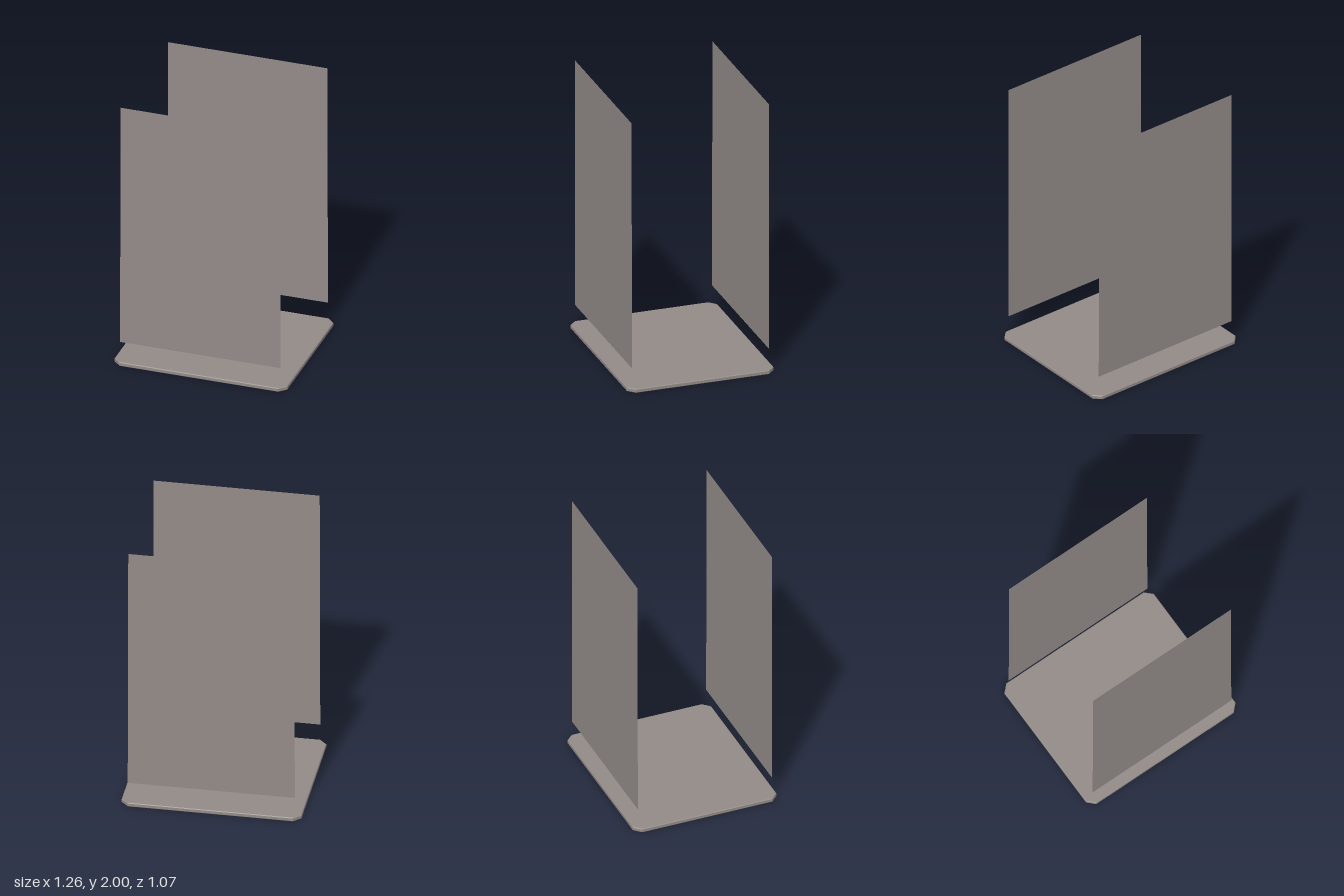
import * as THREE from 'three';

const stone = new THREE.MeshStandardMaterial({ color: 0x938b88, flatShading: true, side: THREE.DoubleSide });
stone.name = 'warm grey';

// Rectangle with cut corners
function cutRectangle(w, d, c) {
  return new THREE.Shape([
    [w, c - d], [w, d - c], [w - c, d], [c - w, d],
    [-w, d - c], [-w, c - d], [c - w, -d], [w - c, -d],
  ].map(([x, y]) => new THREE.Vector2(x, y)));
}

export function createModel() {
  const model = new THREE.Group();
  model.name = 'standWithPanels';

  // Flat base slab with cut corners and a fine bevel
  const bevel = 0.005, height = 0.03;
  const slab = new THREE.ExtrudeGeometry(cutRectangle(0.628, 0.536, 0.05), {
    depth: height - 2 * bevel, bevelEnabled: true, bevelSegments: 1,
    bevelSize: bevel, bevelThickness: bevel, bevelOffset: -bevel,
  });
  slab.rotateX(-Math.PI / 2).translate(0, bevel, 0);
  const base = new THREE.Mesh(slab, stone);
  base.name = 'base';
  model.add(base);

  // Thin upright sheets, very slightly wider at the bottom
  const bottom = 0.17, top = 2, wb = 0.583, wt = 0.579;
  const sheet = new THREE.Shape([
    new THREE.Vector2(-wb, bottom), new THREE.Vector2(wb, bottom),
    new THREE.Vector2(wt, top), new THREE.Vector2(-wt, top),
  ]);
  for (const [name, z, turn] of [['frontPanel', 0.5, 0], ['backPanel', -0.5, Math.PI]]) {
    const panel = new THREE.Mesh(new THREE.ShapeGeometry(sheet), stone);
    panel.name = name;
    panel.position.z = z;
    panel.rotation.y = turn;
    model.add(panel);
  }
  return model;
}
